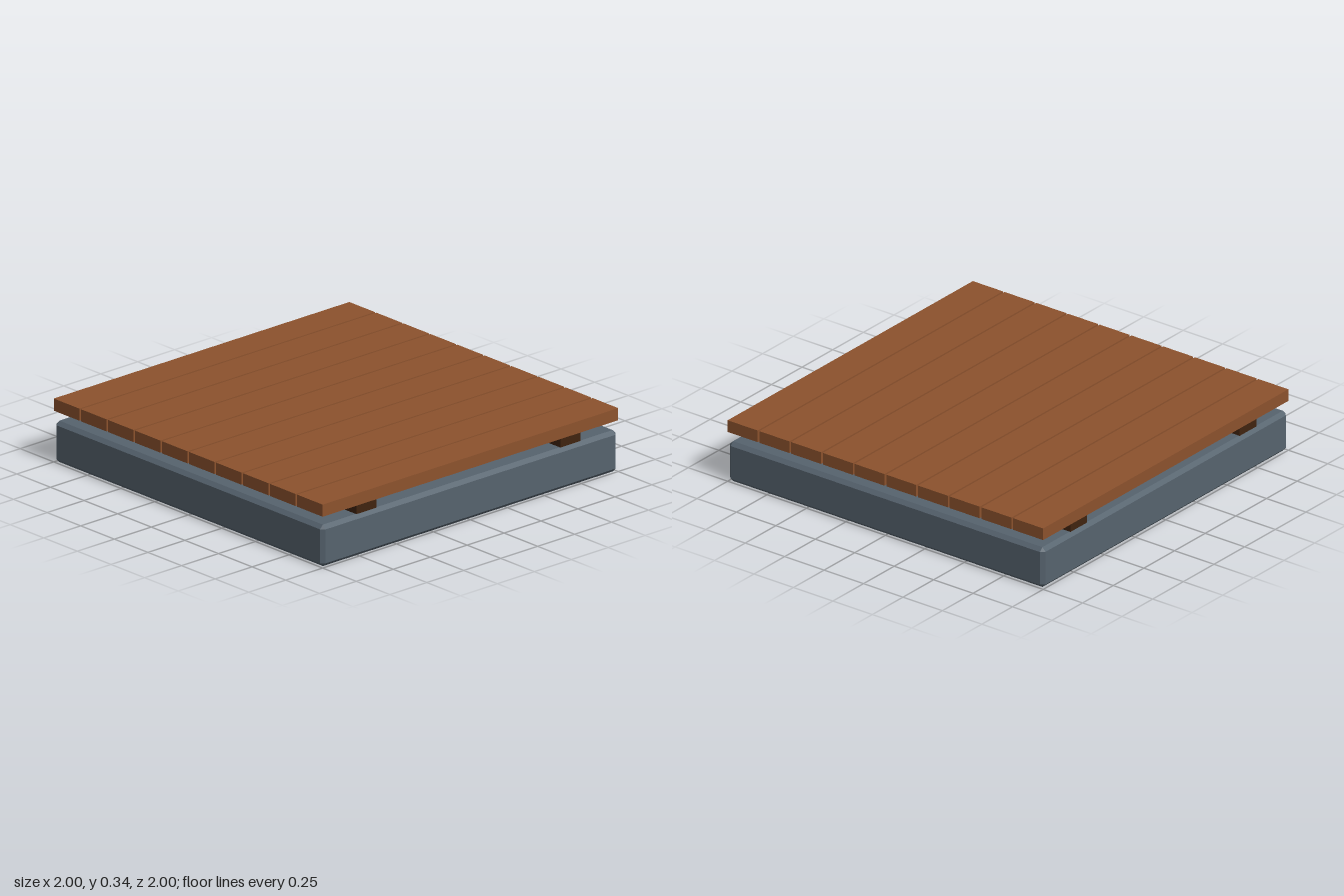
import * as THREE from 'three';
import { ConvexGeometry } from 'three/addons/geometries/ConvexGeometry.js';

const material = (name, color) => {
  const m = new THREE.MeshStandardMaterial({ color });
  m.name = name;
  return m;
};

// Box with every edge cut by a flat chamfer c
function chamferedBox(w, h, d, c) {
  const points = [];
  for (const sx of [-1, 1]) for (const sy of [-1, 1]) for (const sz of [-1, 1]) {
    const x = w / 2, y = h / 2, z = d / 2;
    points.push(
      new THREE.Vector3(sx * x, sy * (y - c), sz * (z - c)),
      new THREE.Vector3(sx * (x - c), sy * y, sz * (z - c)),
      new THREE.Vector3(sx * (x - c), sy * (y - c), sz * z)
    );
  }
  return new ConvexGeometry(points);
}

export function createModel() {
  const group = new THREE.Group();
  group.name = 'deckTile';
  const slate = material('slate', 0x56636e);
  const wood = material('wood', 0x8c522d);
  const darkWood = material('darkWood', 0x40230f);

  const add = (name, geometry, mat, x, y, z) => {
    const mesh = new THREE.Mesh(geometry, mat);
    mesh.name = name;
    mesh.position.set(x, y, z);
    group.add(mesh);
  };

  // Foundation slab
  const baseTop = 0.222;
  add('foundation', chamferedBox(2, baseTop, 2, 0.02), slate, 0, baseTop / 2, 0);

  // Two cross beams under the deck
  const beamHeight = 0.053;
  const beam = new THREE.BoxGeometry(1.97, beamHeight, 0.136);
  for (const side of [-1, 1]) {
    add(side > 0 ? 'frontBeam' : 'backBeam', beam, darkWood, 0, baseTop + beamHeight / 2, side * 0.69);
  }

  // Ten planks running front to back
  const count = 10, width = 0.19, height = 0.065;
  const plank = new THREE.BoxGeometry(width, height, 2);
  const pitch = (2 - width) / (count - 1);
  for (let i = 0; i < count; i++) {
    add(`plank${i + 1}`, plank, wood, -1 + width / 2 + i * pitch, baseTop + beamHeight + height / 2, 0);
  }
  return group;
}
